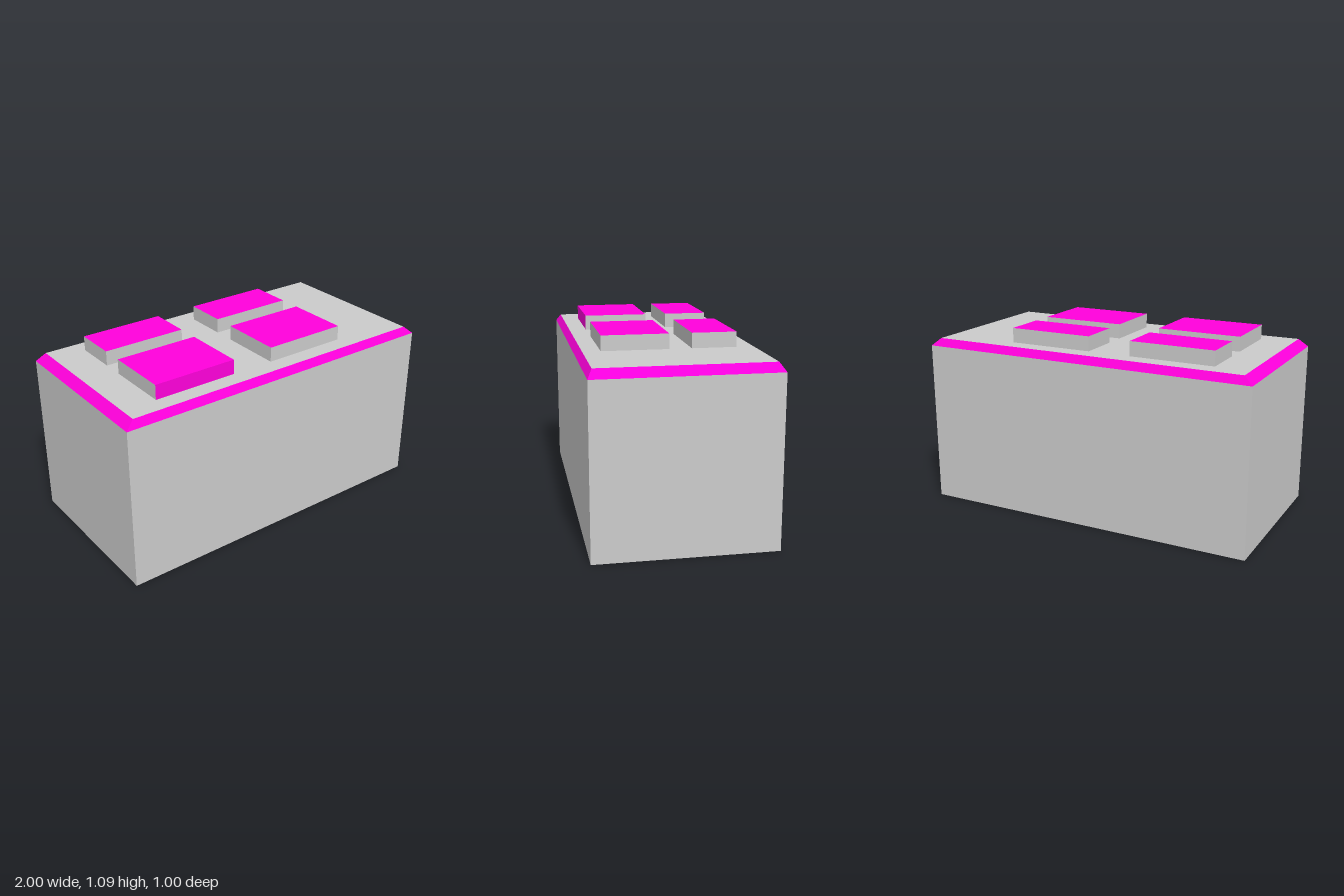
import * as THREE from 'three';

const grey = new THREE.MeshStandardMaterial({ color: 0xcccccc, flatShading: true });
const pink = new THREE.MeshStandardMaterial({ color: 0xff00dc, flatShading: true });

// Box from its limits; materials follow the face order +x, -x, +y, -y, +z, -z
function block(name, [x0, x1], [y0, y1], [z0, z1], materials) {
  const geometry = new THREE.BoxGeometry(x1 - x0, y1 - y0, z1 - z0);
  geometry.translate((x0 + x1) / 2, (y0 + y1) / 2, (z0 + z1) / 2);
  const mesh = new THREE.Mesh(geometry, materials);
  mesh.name = name;
  return mesh;
}

export function createModel() {
  const model = new THREE.Group();
  model.name = 'block';
  const shoulder = 0.955, top = 1, studTop = 1.085;

  // Main body
  model.add(block('body', [-1, 1], [0, shoulder], [-0.5, 0.5], grey));

  // Chamfered rim: a thin slab whose upper corners are drawn inwards
  const rim = block('chamferedTop', [-1, 1], [shoulder, top], [-0.5, 0.5],
    [pink, pink, grey, grey, pink, pink]);
  const p = rim.geometry.attributes.position;
  for (let i = 0; i < p.count; i++) {
    if (p.getY(i) > (shoulder + top) / 2) {
      p.setX(i, Math.sign(p.getX(i)) * 0.947);
      p.setZ(i, Math.sign(p.getZ(i)) * 0.473);
    }
  }
  rim.geometry.computeVertexNormals();
  model.add(rim);

  // Raised pads, two columns by two rows; one has a coloured front
  const columns = { Right: [-0.75, -0.255], Left: [0, 0.5] };
  const rows = { front: [0, 0.373], back: [-0.375, -0.125] };
  for (const [row, z] of Object.entries(rows)) {
    for (const [column, x] of Object.entries(columns)) {
      const front = row === 'front' && column === 'Right' ? pink : grey;
      model.add(block(`${row}${column}Pad`, x, [top, studTop], z,
        [grey, grey, pink, grey, front, grey]));
    }
  }
  return model;
}
